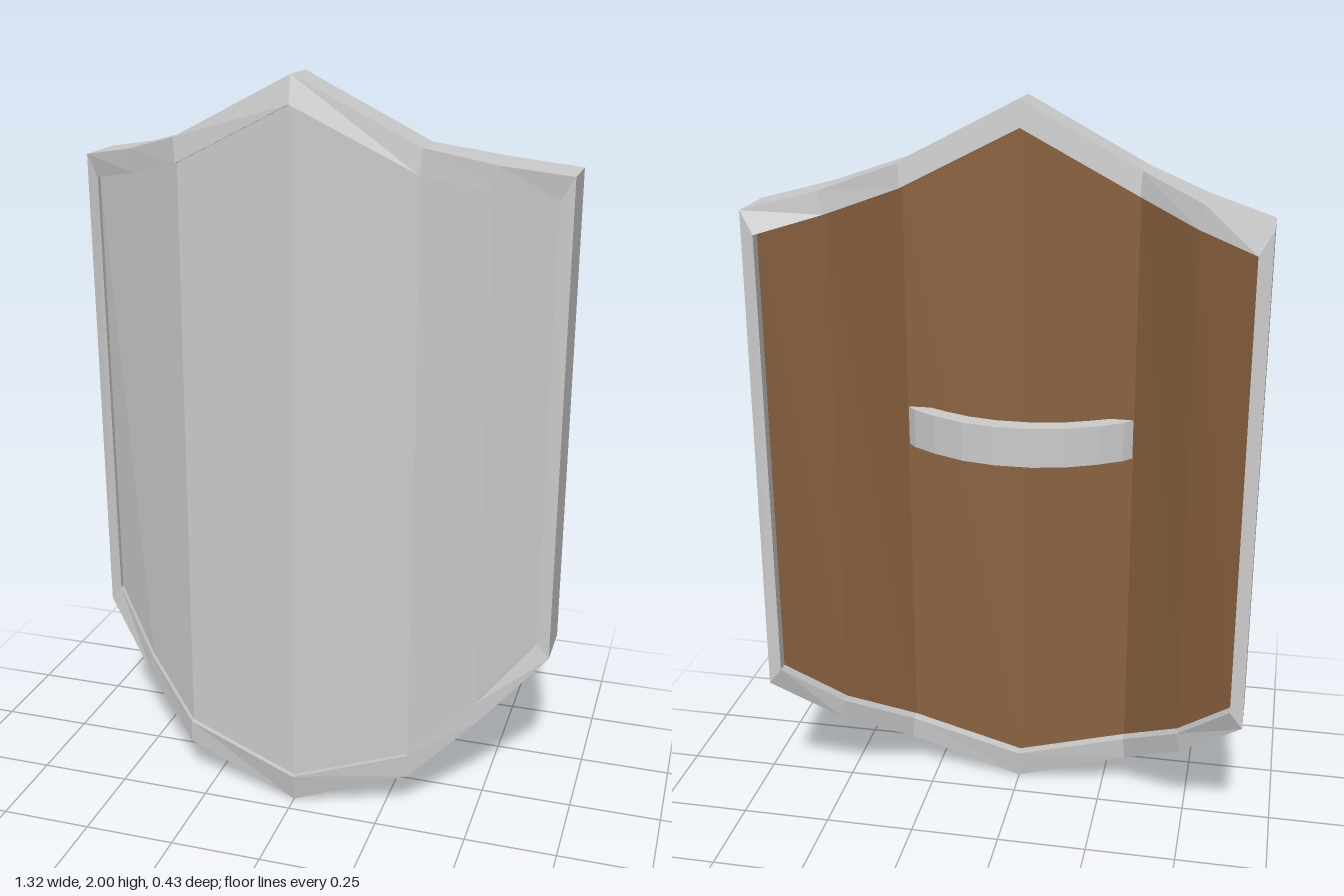
import * as THREE from 'three';

const steel = new THREE.MeshStandardMaterial({ color: 0xcccccc, flatShading: true });
const wood = new THREE.MeshStandardMaterial({ color: 0x8a6240, flatShading: true });

// Half outline from top centre to bottom centre: [x, y, front z, back z]
const outer = [
  [0, 2, 0.2, 0.08], [0.32, 1.835, 0.17, 0.058], [0.49, 1.785, 0.065, -0.1], [0.66, 1.75, -0.04, -0.2],
  [0.66, 0.415, -0.06, -0.215], [0.49, 0.255, 0.06, -0.1], [0.32, 0.115, 0.17, 0.058], [0, 0, 0.2, 0.085],
];
const inner = [
  [0, 1.93, 0.215, 0.075], [0.315, 1.77, 0.175, 0.053], [0.475, 1.725, 0.073, -0.1], [0.625, 1.69, -0.027, -0.21],
  [0.625, 0.46, -0.05, -0.215], [0.48, 0.31, 0.065, -0.1], [0.315, 0.18, 0.175, 0.053], [0, 0.08, 0.215, 0.075],
];

// Closed loop from a half outline, taking z from the given column plus an offset
function loop(half, column, dz = 0) {
  const right = half.map((p) => new THREE.Vector3(p[0], p[1], p[column] + dz));
  const left = right.slice(1, -1).reverse().map((p) => new THREE.Vector3(-p.x, p.y, p.z));
  return [...right, ...left];
}

// Flat-shaded mesh from a list of four-cornered faces
function quadMesh(name, quads, material) {
  const points = quads.flatMap(([a, b, c, d]) => [a, b, c, a, c, d]);
  const geometry = new THREE.BufferGeometry().setFromPoints(points);
  geometry.computeVertexNormals();
  const mesh = new THREE.Mesh(geometry, material);
  mesh.name = name;
  return mesh;
}

// Four-sided section swept round the outline
function makeRim() {
  const loops = [loop(outer, 3), loop(outer, 2), loop(inner, 2), loop(inner, 3)];
  const quads = [];
  for (let j = 0; j < 4; j++) {
    const a = loops[j], b = loops[(j + 1) % 4];
    for (let i = 0; i < a.length; i++) {
      const n = (i + 1) % a.length;
      quads.push([a[i], b[i], b[n], a[n]]);
    }
  }
  return quadMesh('rim', quads, steel);
}

// Folded sheet of vertical strips filling the rim
function makePanel(name, column, dz, material, facesBack) {
  const pts = loop(inner, column, dz);
  const top = [11, 12, 13, 0, 1, 2, 3].map((i) => pts[i]);
  const bottom = [10, 9, 8, 7, 6, 5, 4].map((i) => pts[i]);
  const quads = [];
  for (let i = 0; i < 6; i++) {
    const q = [top[i], bottom[i], bottom[i + 1], top[i + 1]];
    quads.push(facesBack ? q.reverse() : q);
  }
  return quadMesh(name, quads, material);
}

// Bowed strap across the back
function makeHandle() {
  const back = [[0.315, 0.085], [0.29, 0.058], [0.225, 0.018], [0.14, -0.02], [0.05, -0.038]];
  const front = [[0.05, 0.016], [0.13, 0.032], [0.2, 0.06], [0.25, 0.085]];
  const mirror = (list) => list.map(([x, z]) => [-x, z]).reverse();
  const section = [...back, ...mirror(back), ...mirror(front), ...front];
  const shape = new THREE.Shape(section.map(([x, z]) => new THREE.Vector2(x, z)));
  const geometry = new THREE.ExtrudeGeometry(shape, { depth: 0.11, bevelEnabled: false });
  geometry.rotateX(Math.PI / 2);
  const handle = new THREE.Mesh(geometry, steel);
  handle.name = 'handle';
  handle.position.y = 1.16;
  return handle;
}

export function createModel() {
  const shield = new THREE.Group();
  shield.name = 'shield';
  shield.add(
    makeRim(),
    makePanel('frontPlate', 2, -0.015, steel, false),
    makePanel('woodenBacking', 3, 0.03, wood, true),
    makeHandle(),
  );
  return shield;
}
